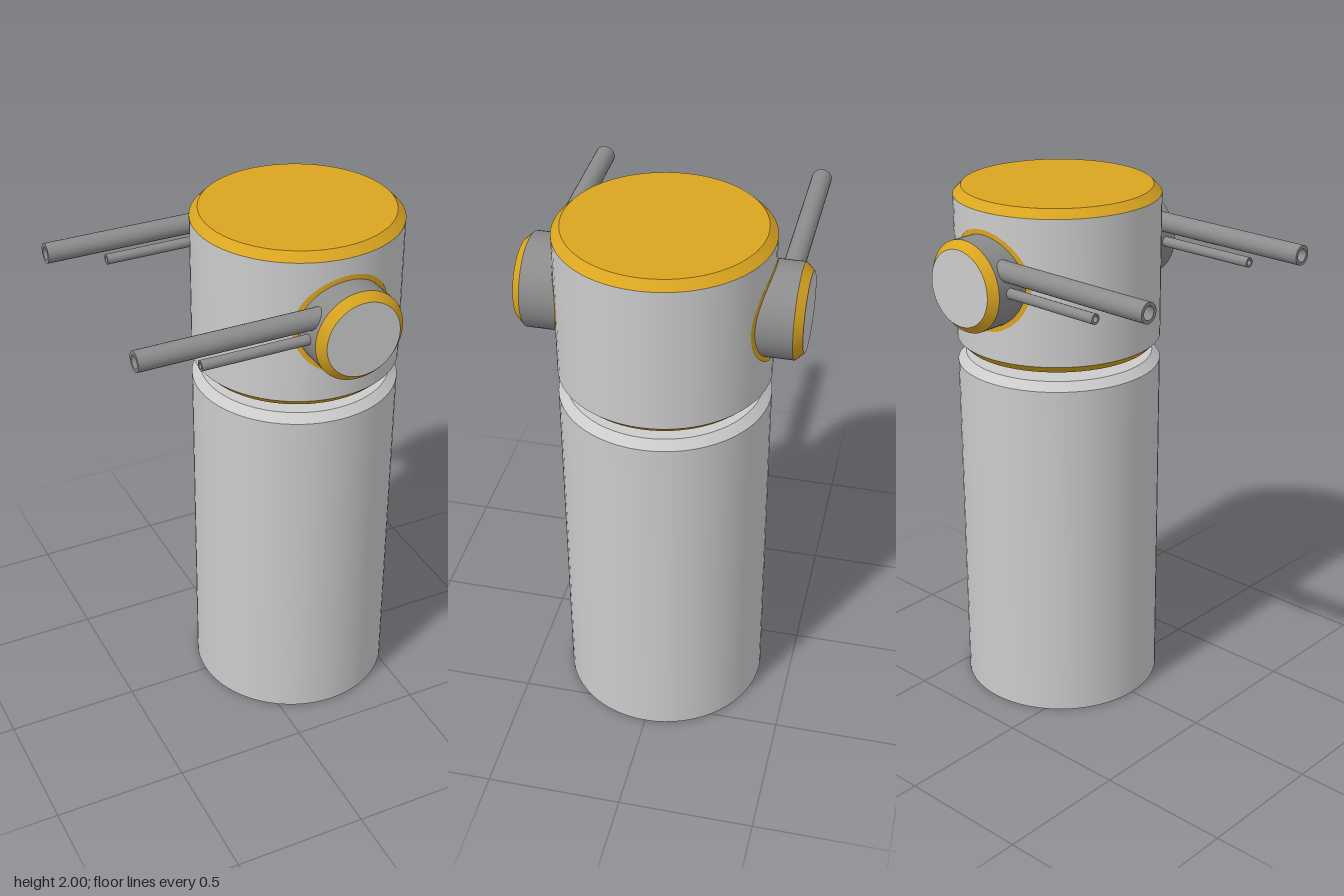
import * as THREE from 'three';

const grey = new THREE.MeshStandardMaterial({ color: 0xcccccc });
const dark = new THREE.MeshStandardMaterial({ color: 0x8c8c8c });
const gold = new THREE.MeshStandardMaterial({ color: 0xdaa520 });

const R = 0.38, POD_R = 0.168, POD_Y = 1.72, POD_Z = 0.417;

function add(parent, name, geometry, material) {
  const mesh = new THREE.Mesh(geometry, material);
  mesh.name = name;
  parent.add(mesh);
  return mesh;
}

// Upright cylinder or cone section between two heights
function section(rBottom, rTop, y0, y1, open = false) {
  return new THREE.CylinderGeometry(rTop, rBottom, y1 - y0, 64, 1, open).translate(0, (y0 + y1) / 2, 0);
}

// Hollow tube along -x: outer wall, muzzle rim and bore
function barrelGeometry(r, bore, x0, x1) {
  const len = x1 - x0;
  const profile = [[r, 0], [r, len], [r, len], [bore, len], [bore, len], [bore, 0.02]];
  return new THREE.LatheGeometry(profile.map(p => new THREE.Vector2(...p)), 24)
    .rotateZ(Math.PI / 2).translate(x1, 0, 0);
}

// Thin collar that follows the curved head wall around a pod
function collarGeometry() {
  const geo = new THREE.RingGeometry(POD_R - 0.004, 0.186, 64, 1);
  const pos = geo.attributes.position;
  for (let i = 0; i < pos.count; i++) {
    const x = pos.getX(i);
    pos.setZ(i, Math.sqrt((R + 0.002) ** 2 - x * x));
  }
  geo.computeVertexNormals();
  return geo;
}

// Side pod facing +z, with its own centre as origin in x and y
function pod() {
  const g = new THREE.Group();
  const turned = geo => geo.rotateX(Math.PI / 2);
  add(g, 'podBody', turned(section(POD_R, POD_R, 0.28, 0.47)), dark);
  add(g, 'podBevel', turned(section(POD_R, 0.14, 0.47, 0.5, true)), gold);
  add(g, 'podCap', new THREE.CircleGeometry(0.14, 64).translate(0, 0, 0.5), grey);
  add(g, 'podCollar', collarGeometry(), gold);
  return g;
}

export function createModel() {
  const model = new THREE.Group();
  model.name = 'turret';

  // Column
  const column = new THREE.Group();
  column.name = 'column';
  add(column, 'columnBody', section(R, R, 0, 1.335), grey);
  add(column, 'columnBevel', section(R, 0.35, 1.335, 1.365), grey);

  // Head, floating just above the column
  const head = new THREE.Group();
  head.name = 'head';
  add(head, 'headBody', section(R, R, 1.43, 1.97, true), grey);
  add(head, 'headBottom', section(0.35, R, 1.4, 1.43), gold);
  add(head, 'headTop', section(R, 0.35, 1.97, 2), gold);

  // Pods and their barrels on both sides
  for (const side of [1, -1]) {
    const p = pod();
    p.name = side > 0 ? 'frontPod' : 'backPod';
    p.position.y = POD_Y;
    if (side < 0) p.rotation.y = Math.PI;
    head.add(p);

    const large = add(head, 'largeBarrel', barrelGeometry(0.037, 0.024, -0.795, -0.08), dark);
    large.position.set(0, 1.795, side * POD_Z);
    const small = add(head, 'smallBarrel', barrelGeometry(0.019, 0.011, -0.565, -0.12), dark);
    small.position.set(0, POD_Y, side * POD_Z);
  }

  // Barrels reach far to one side, so the body sits off centre
  column.position.x = head.position.x = 0.207;
  model.add(column, head);
  return model;
}
